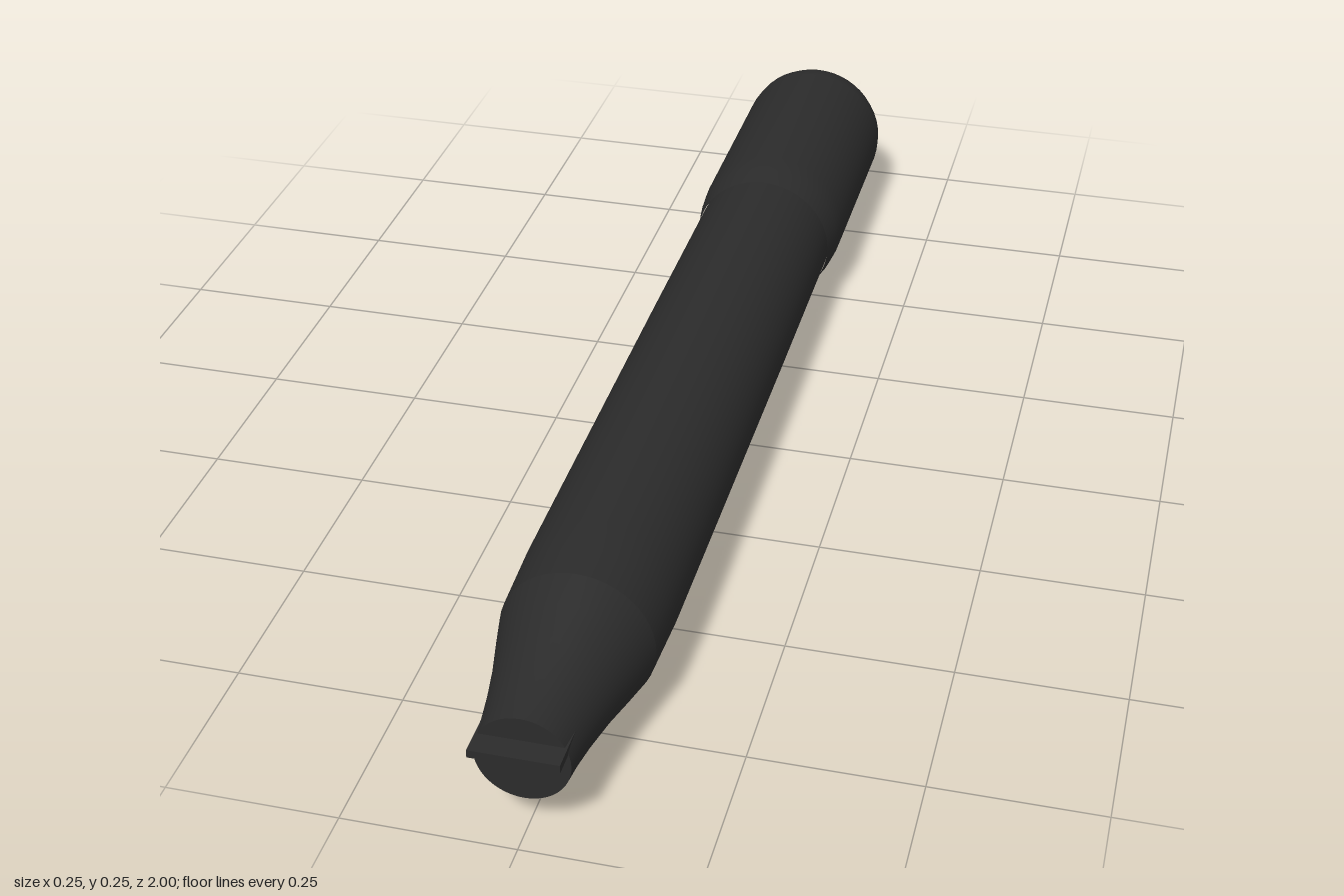
import * as THREE from 'three';

export function createModel() {
  const group = new THREE.Group();
  const black = new THREE.MeshStandardMaterial({ color: 0x2b2b2b });
  black.name = 'matte black';
  const brass = new THREE.MeshStandardMaterial({ color: 0xb5a642 });
  brass.name = 'brass';
  const axisY = 0.128;

  const add = (name, geometry, material, y, z) => {
    const mesh = new THREE.Mesh(geometry, material);
    mesh.name = name;
    mesh.position.set(0, y, z);
    group.add(mesh);
  };

  // Turned part along z; each profile point is [radius, z], back to front
  const turned = (name, profile) => {
    const points = profile.map(([r, z]) => new THREE.Vector2(r, z));
    add(name, new THREE.LatheGeometry(points, 48).rotateX(Math.PI / 2), black, axisY, 0);
  };

  // Rear grip sleeve with a softened end
  turned('sleeveEnd', [[0, -0.94], [0.104, -0.94]]);
  turned('sleeve', [
    [0.104, -0.94], [0.116, -0.925], [0.124, -0.905], [0.127, -0.88],
    [0.127, -0.53], [0.124, -0.49], [0.117, -0.45],
  ]);

  // Long barrel
  turned('barrel', [[0.116, -0.46], [0.117, -0.1], [0.117, 0.59], [0.115, 0.65], [0.113, 0.71]]);

  // Tapered nose, flaring into a short straight tip
  turned('nose', [
    [0.113, 0.71], [0.102, 0.76], [0.088, 0.82], [0.077, 0.88], [0.07, 0.93], [0.067, 0.965],
  ]);
  turned('noseEnd', [[0.067, 0.965], [0, 0.965]]);

  // Flat tip blade
  add('tipBlade', new THREE.BoxGeometry(0.126, 0.012, 0.09), black, 0.153, 0.955);

  // Brass ring standing off the rear end
  add('rearRing', new THREE.TorusGeometry(0.053, 0.014, 12, 40), brass, axisY, -0.986);

  return group;
}
